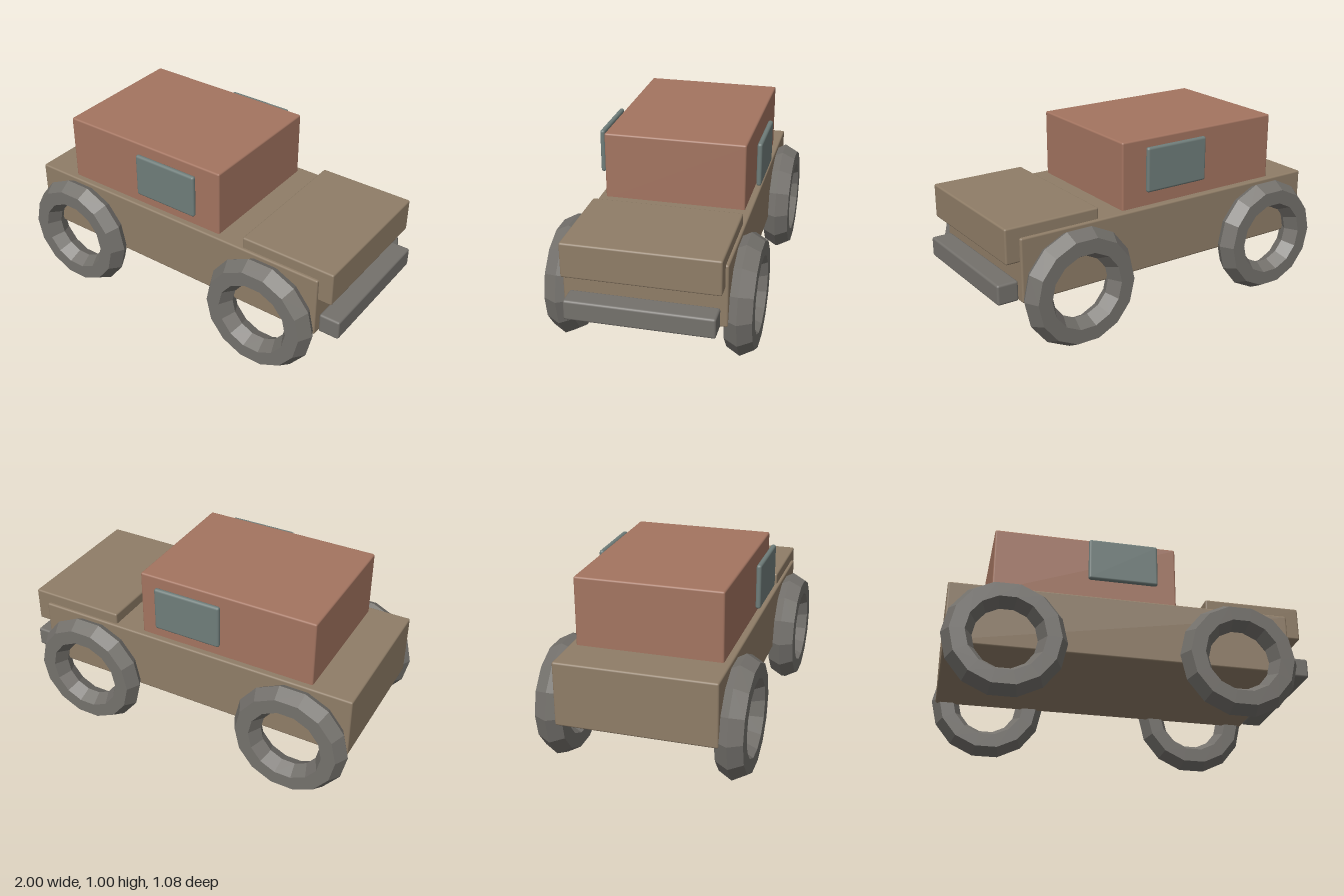
import * as THREE from 'three';
import { RoundedBoxGeometry } from 'three/addons/geometries/RoundedBoxGeometry.js';

const paint = (color, flatShading = false) => {
  const material = new THREE.MeshStandardMaterial({ color });
  material.flatShading = flatShading;
  return material;
};

export function createModel() {
  const car = new THREE.Group();
  car.name = 'car';

  const tan = paint(0x8f7d67);
  const brown = paint(0xa37460);
  const glass = paint(0x6f7d7a);
  const metal = paint(0x74716c);
  const rubber = paint(0x74716c, true);

  // Softened box given by its extents on each axis
  const box = (name, [x0, x1], [y0, y1], [z0, z1], material, radius = 0.01) => {
    const geometry = new RoundedBoxGeometry(x1 - x0, y1 - y0, z1 - z0, 2, radius);
    const mesh = new THREE.Mesh(geometry, material);
    mesh.name = name;
    mesh.position.set((x0 + x1) / 2, (y0 + y1) / 2, (z0 + z1) / 2);
    car.add(mesh);
  };

  // Body, cabin, hood and bumper; the car drives towards +x
  box('body', [-0.98, 0.88], [0.29, 0.637], [-0.423, 0.423], tan);
  box('cabin', [-0.75, 0.257], [0.62, 1.005], [-0.387, 0.387], brown);
  box('hood', [0.418, 0.957], [0.508, 0.698], [-0.407, 0.407], tan);
  box('bumper', [0.882, 1.0], [0.293, 0.403], [-0.387, 0.387], metal, 0.012);

  // Open ring tyre: six-sided section, fourteen segments, slightly widened
  const tyre = new THREE.TorusGeometry(0.2465, 0.0785, 6, 14);
  tyre.scale(1, 1, 1.065);

  for (const side of [1, -1]) {
    const sideName = side > 0 ? 'front' : 'back';

    // Window pane standing just off the cabin side
    const depth = side > 0 ? [0.423, 0.451] : [-0.451, -0.423];
    box(`${sideName}Window`, [-0.243, 0.14], [0.73, 0.974], depth, glass, 0.013);

    for (const [name, x] of [['RearWheel', -0.675], ['ForwardWheel', 0.572]]) {
      const wheel = new THREE.Mesh(tyre, rubber);
      wheel.name = sideName + name;
      wheel.position.set(x, 0.318, side * 0.467);
      car.add(wheel);
    }
  }

  return car;
}
